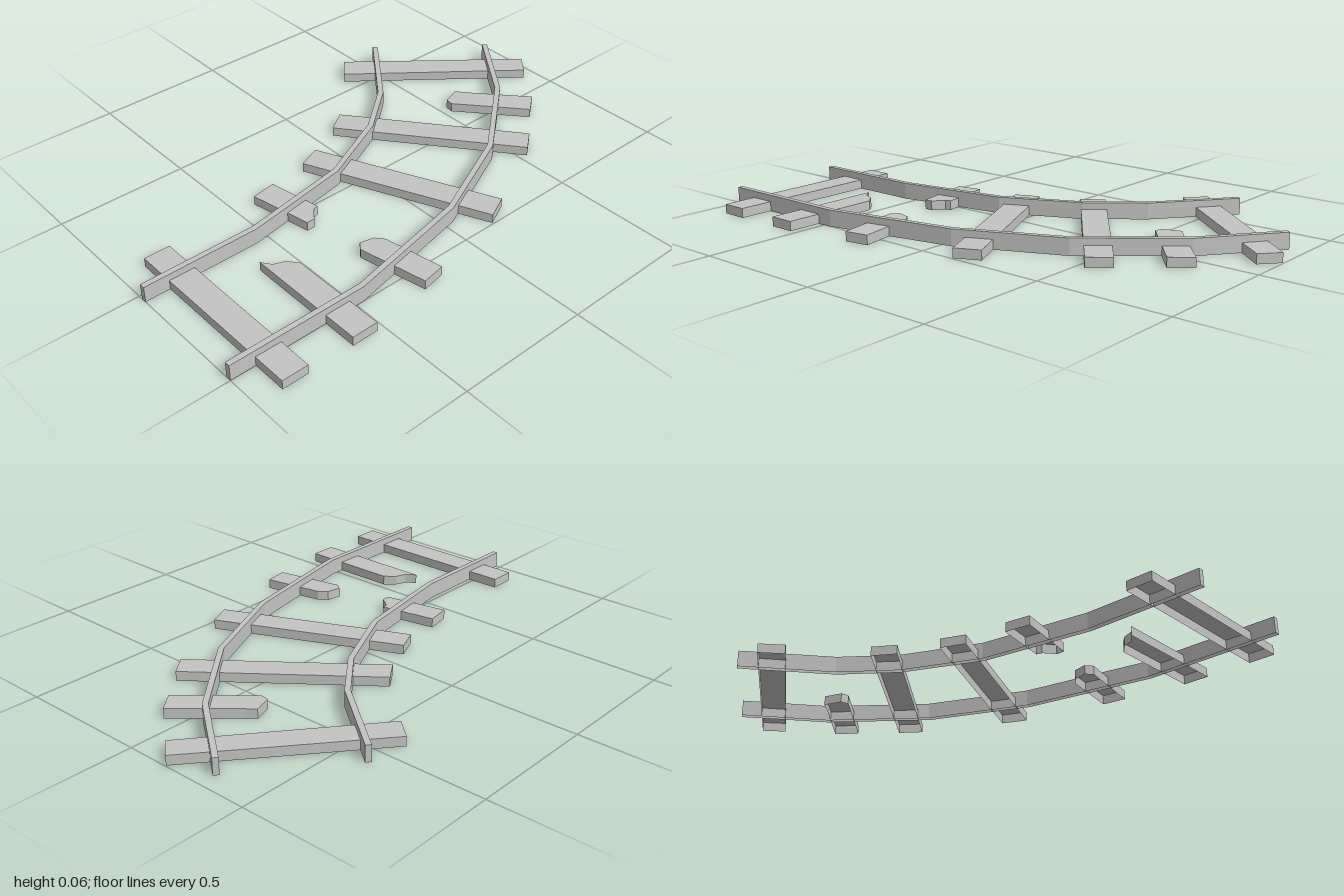
import * as THREE from 'three';

const grey = new THREE.MeshStandardMaterial({ color: 0xc4c4c4, side: THREE.DoubleSide });
grey.name = 'plain grey';

const toPoints = (flat) => {
  const pts = [];
  for (let i = 0; i < flat.length; i += 2) pts.push(new THREE.Vector2(flat[i], flat[i + 1]));
  return pts;
};

// Flat-sided prism over an (x, z) outline, open underneath
function openPrism(name, outline, y0, y1) {
  const pts = THREE.ShapeUtils.isClockWise(outline) ? outline.slice().reverse() : outline;
  const pos = [];
  const put = (p, y) => pos.push(p.x, y, p.y);
  for (const [a, b, c] of THREE.ShapeUtils.triangulateShape(pts, [])) {
    [c, b, a].forEach((i) => put(pts[i], y1));
  }
  pts.forEach((a, i) => {
    const b = pts[(i + 1) % pts.length];
    put(a, y0); put(a, y1); put(b, y1);
    put(a, y0); put(b, y1); put(b, y0);
  });
  const geo = new THREE.BufferGeometry();
  geo.setAttribute('position', new THREE.Float32BufferAttribute(pos, 3));
  geo.computeVertexNormals();
  const mesh = new THREE.Mesh(geo, grey);
  mesh.name = name;
  return mesh;
}

// Widen a path into a strip outline with mitred bends
function stripOutline(path, width) {
  const left = [], right = [];
  path.forEach((p, i) => {
    const into = p.clone().sub(path[Math.max(i - 1, 0)]).normalize();
    const out = path[Math.min(i + 1, path.length - 1)].clone().sub(p).normalize();
    const dir = into.clone().add(out).normalize();
    const bend = Math.max(dir.dot(into), dir.dot(out));
    const side = new THREE.Vector2(-dir.y, dir.x).multiplyScalar(width / 2 / bend);
    left.push(p.clone().add(side));
    right.unshift(p.clone().sub(side));
  });
  return [...left, ...right];
}

export function createModel() {
  const group = new THREE.Group();
  group.name = 'brokenCurvedTrack';

  // Two bent rails
  const rails = {
    innerRail: [-1, 0.027, -0.548, 0.027, -0.126, -0.045, 0.163, -0.18, 0.35, -0.33, 0.572, -0.612],
    outerRail: [-1, 0.49, -0.468, 0.49, 0.035, 0.388, 0.41, 0.217, 0.725, -0.045, 0.933, -0.318],
  };
  for (const [name, path] of Object.entries(rails)) {
    group.add(openPrism(name, stripOutline(toPoints(path), 0.021), 0, 0.062));
  }

  // Whole and snapped sleepers, as (x, z) outlines
  const sleepers = {
    firstSleeper: [-0.905, -0.112, -0.805, -0.112, -0.805, 0.632, -0.905, 0.632],
    brokenSleeperA: [-0.628, 0.632, -0.528, 0.632, -0.528, 0.249, -0.56, 0.211, -0.602, 0.195, -0.628, 0.158],
    brokenSleeperB: [-0.425, -0.142, -0.329, -0.158, -0.291, 0.051, -0.313, 0.056, -0.345, 0.099, -0.377, 0.099],
    brokenSleeperC: [-0.334, 0.329, -0.313, 0.302, -0.259, 0.313, -0.233, 0.345, -0.19, 0.575, -0.281, 0.591],
    middleSleeper: [-0.168, -0.184, -0.078, -0.222, 0.227, 0.452, 0.136, 0.495],
    fourthSleeper: [0.067, -0.291, 0.147, -0.345, 0.607, 0.238, 0.532, 0.297],
    brokenSleeperD: [0.532, -0.11, 0.537, -0.142, 0.607, -0.166, 0.634, -0.131, 0.81, 0.067, 0.735, 0.126],
    lastSleeper: [0.42, -0.639, 0.997, -0.163, 0.938, -0.094, 0.356, -0.564],
  };
  for (const [name, outline] of Object.entries(sleepers)) {
    group.add(openPrism(name, toPoints(outline), 0, 0.036));
  }
  return group;
}
